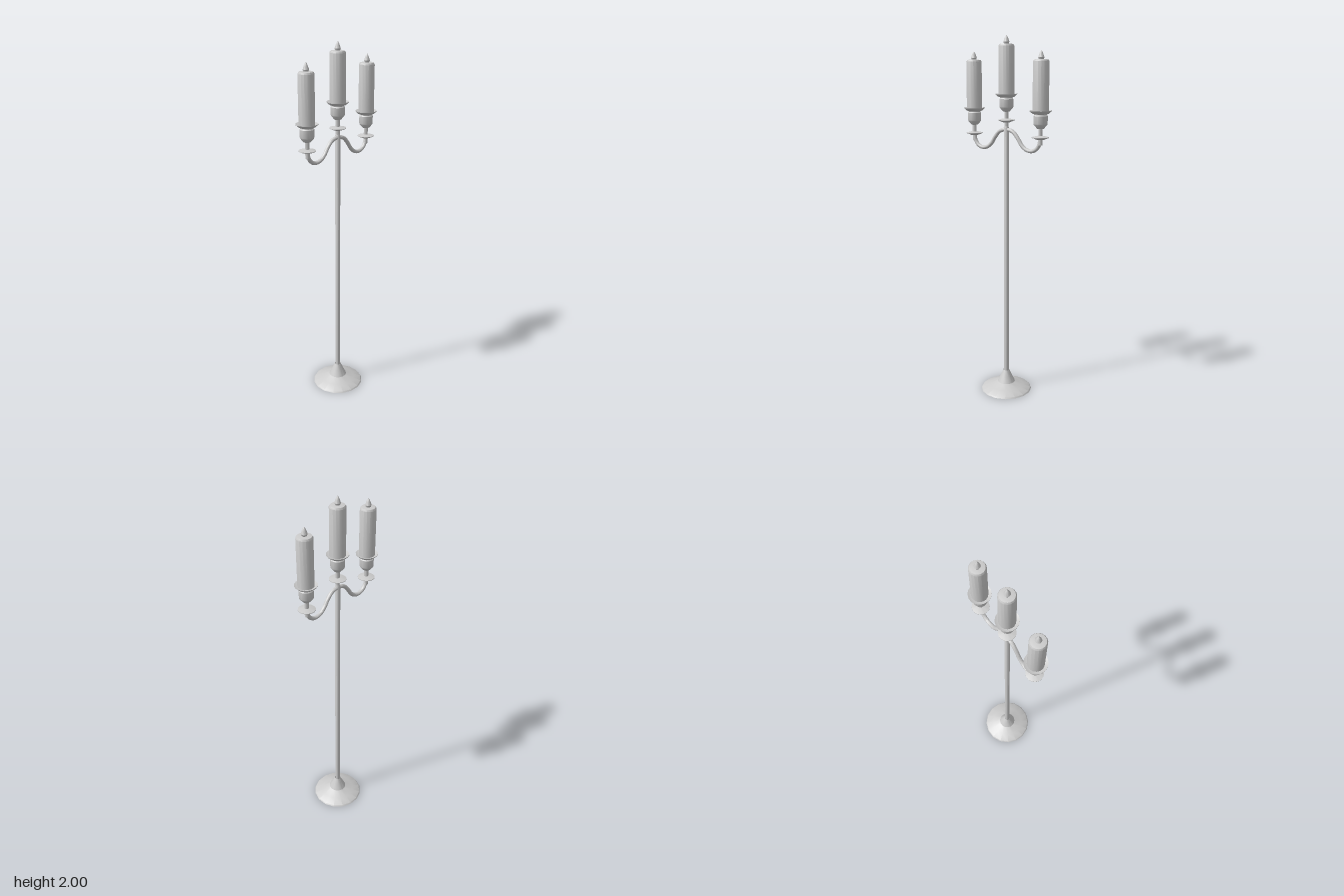
import * as THREE from 'three';
import { toCreasedNormals } from 'three/addons/utils/BufferGeometryUtils.js';

const SIDES = 16;
const material = new THREE.MeshStandardMaterial({ color: 0xcccccc, side: THREE.DoubleSide });

function part(name, geometry) {
  const mesh = new THREE.Mesh(toCreasedNormals(geometry, 0.6), material);
  mesh.name = name;
  return mesh;
}

// Turned part from [radius, height] pairs, listed from bottom to top
function turned(name, profile) {
  const points = profile.map(([r, y]) => new THREE.Vector2(r, y));
  return part(name, new THREE.LatheGeometry(points, SIDES, Math.PI / SIDES));
}

// Drip dish, socket, candle and flame; heights start at the dish
function createCandleHolder(name, y, z) {
  const holder = new THREE.Group();
  holder.name = name;
  holder.add(
    turned('dripDish', [[0, -0.012], [0.02, -0.01], [0.045, 0], [0.045, 0.003], [0.02, 0.009], [0, 0.01]]),
    turned('socketStem', [[0.011, -0.04], [0.011, 0.045], [0.018, 0.052]]),
    turned('socket', [[0, 0.046], [0.018, 0.047], [0.035, 0.066], [0.037, 0.072], [0.037, 0.112], [0.033, 0.117], [0.033, 0.122]]),
    turned('socketCollar', [[0.033, 0.12], [0.044, 0.124], [0.058, 0.137], [0.058, 0.14], [0.042, 0.134], [0, 0.134]]),
    turned('candle', [[0.042, 0.13], [0.042, 0.385], [0.037, 0.394], [0.025, 0.396], [0, 0.396]]),
    turned('flame', [[0, 0.39], [0.011, 0.392], [0.016, 0.405], [0.011, 0.42], [0.005, 0.434], [0, 0.44]])
  );
  holder.position.set(0, y, z);
  return holder;
}

export function createModel() {
  const model = new THREE.Group();
  model.name = 'candelabra';

  // Hollow flared foot and long pole
  model.add(
    turned('foot', [[0.145, 0], [0.14, 0.007], [0.095, 0.024], [0.05, 0.045], [0.033, 0.08], [0.017, 0.115]]),
    turned('pole', [[0.014, 0.1], [0.014, 1.52], [0.01, 1.53]])
  );

  // One swan-neck bar, mirrored about the pole
  const half = [[0.219, 1.475], [0.211, 1.44], [0.19, 1.415], [0.16, 1.405], [0.125, 1.413],
    [0.1, 1.433], [0.076, 1.467], [0.05, 1.496], [0.025, 1.508]];
  const path = [
    ...half.map(([z, y]) => new THREE.Vector3(0, y, z)),
    new THREE.Vector3(0, 1.51, 0),
    ...half.map(([z, y]) => new THREE.Vector3(0, y, -z)).reverse()
  ];
  model.add(part('arms', new THREE.TubeGeometry(new THREE.CatmullRomCurve3(path), 48, 0.0105, 12)));

  // Two outer candles and a raised middle one
  model.add(createCandleHolder('frontCandleHolder', 1.48, 0.219));
  model.add(createCandleHolder('backCandleHolder', 1.48, -0.219));
  model.add(createCandleHolder('middleCandleHolder', 1.56, 0));

  model.position.z = -0.002;
  return model;
}
